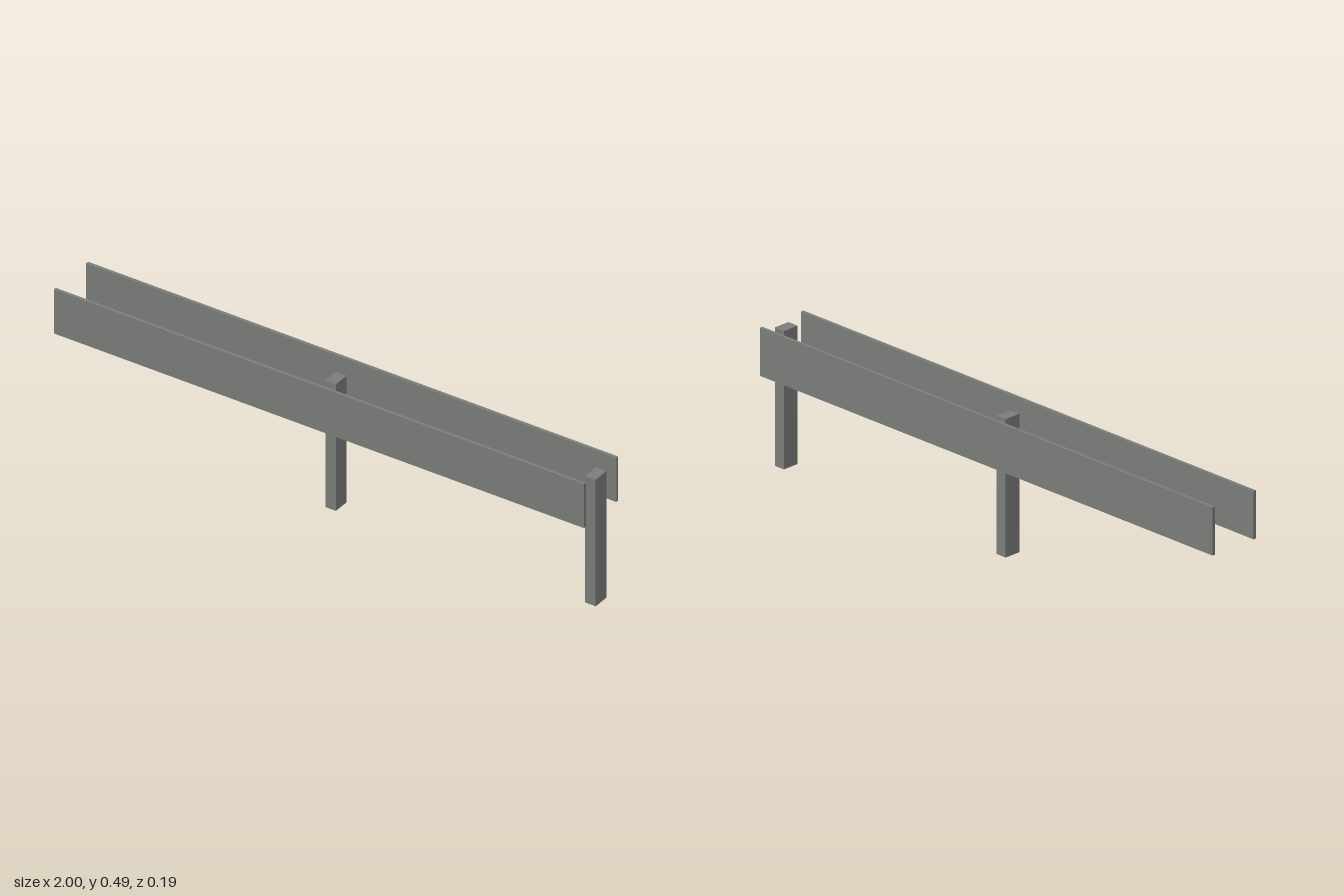
import * as THREE from 'three';

export function createModel() {
  const group = new THREE.Group();
  group.name = 'guardRail';
  const steel = new THREE.MeshStandardMaterial({ color: 0x7b7d7b });
  steel.name = 'grey steel';

  function addBox(name, size, position) {
    const mesh = new THREE.Mesh(new THREE.BoxGeometry(...size), steel);
    mesh.name = name;
    mesh.position.set(...position);
    group.add(mesh);
  }

  // Long rails on either side of the posts
  for (const [name, side] of [['frontRail', 1], ['backRail', -1]]) {
    addBox(name, [2, 0.164, 0.011], [0, 0.409, side * 0.0905]);
  }

  // Posts at the middle and the left end, standing between the rails
  for (const [name, x] of [['middlePost', 0], ['endPost', 0.98]]) {
    addBox(name, [0.04, 0.472, 0.06], [x, 0.236, 0]);
  }

  return group;
}
